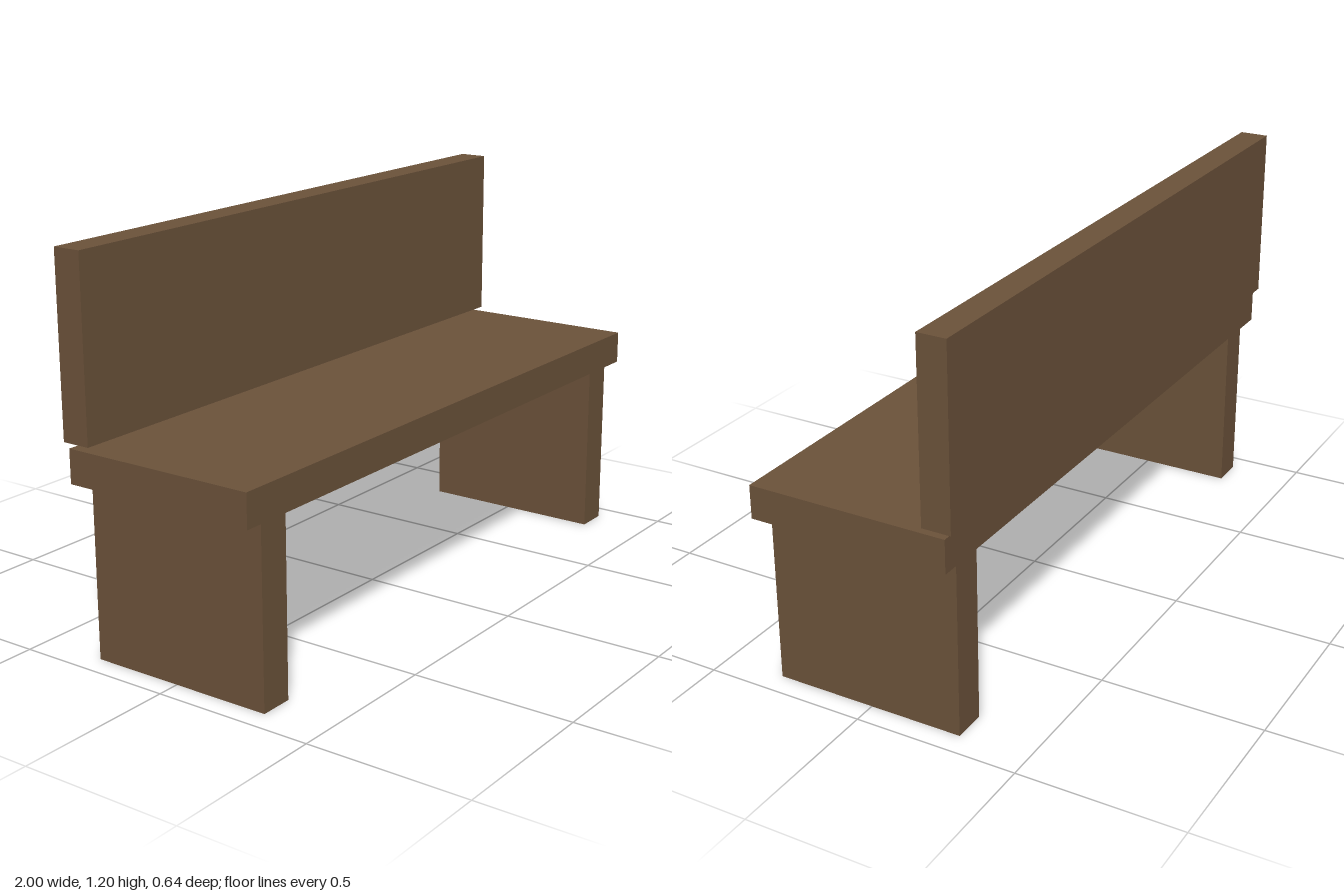
import * as THREE from 'three';

export function createModel() {
  const bench = new THREE.Group();
  bench.name = 'bench';
  const wood = new THREE.MeshStandardMaterial({ color: 0x6b523a });
  wood.name = 'brownWood';

  // Box given by its lower and upper limits on each axis
  const board = (name, [x0, x1], [y0, y1], [z0, z1]) => {
    const mesh = new THREE.Mesh(new THREE.BoxGeometry(x1 - x0, y1 - y0, z1 - z0), wood);
    mesh.position.set((x0 + x1) / 2, (y0 + y1) / 2, (z0 + z1) / 2);
    mesh.name = name;
    bench.add(mesh);
  };

  // Seat plank and the backrest floating just above its rear edge
  board('seat', [-1, 1], [0.543, 0.645], [-0.299, 0.319]);
  board('backrest', [-1, 1], [0.66, 1.2], [-0.318, -0.229]);

  // Slab legs
  board('leftLeg', [0.826, 0.929], [0, 0.543], [-0.287, 0.308]);
  board('rightLeg', [-0.931, -0.828], [0, 0.543], [-0.287, 0.308]);

  return bench;
}
